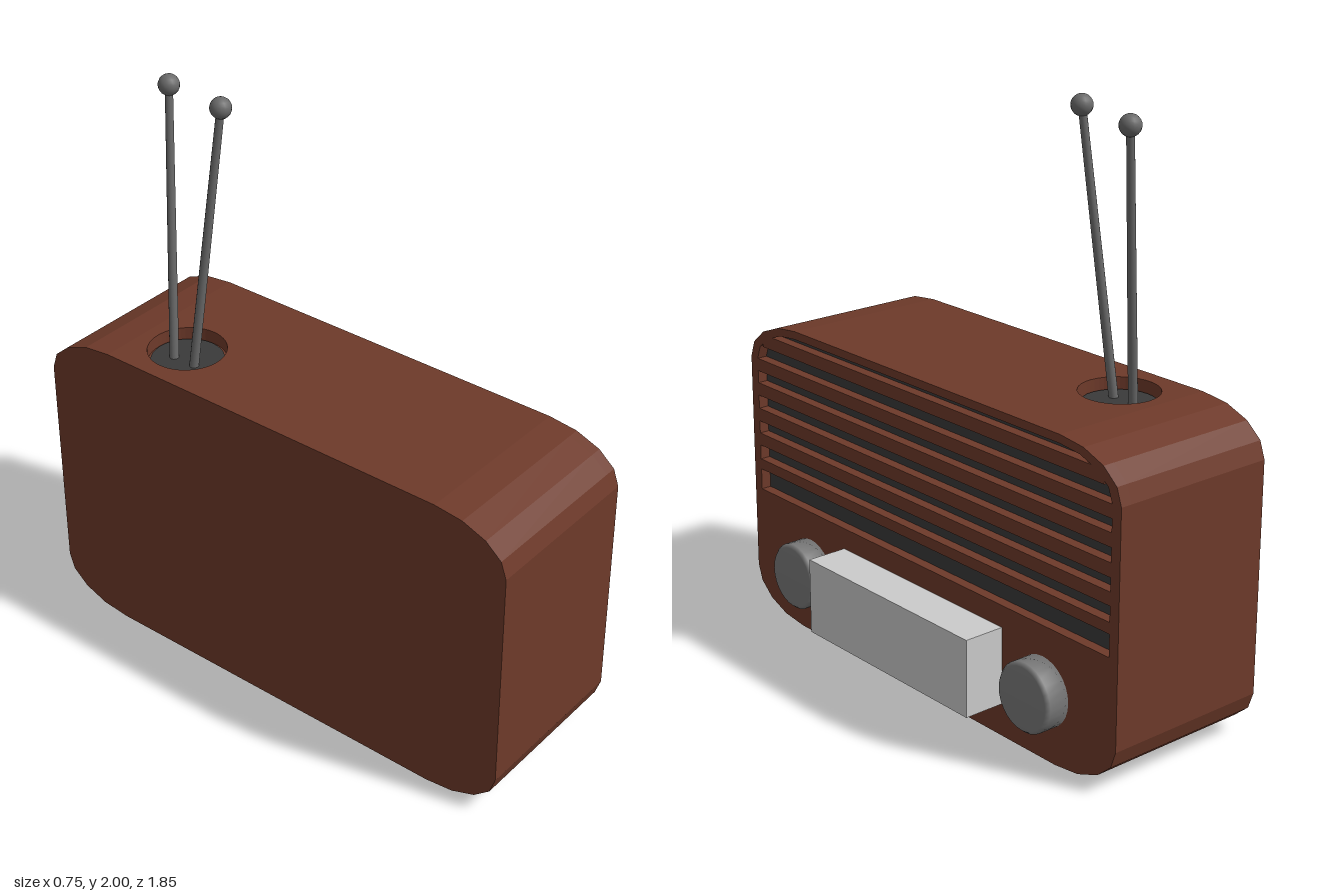
import * as THREE from 'three';

const paint = (color) => new THREE.MeshStandardMaterial({ color });
const wood = paint(0x6e3a2a), dark = paint(0x3a3a3a), metal = paint(0x6a6a6a), knobGrey = paint(0x7a7a7a), grey = paint(0xcccccc);

const BACK = -0.375, FRONT = 0.225, GRILLE = 0.04, TOP = 1.085, WELL = 0.045;
const SPLIT = FRONT - GRILLE; // where the front panel meets the cabinet

function add(parent, name, geometry, material, x = 0, y = 0, z = 0) {
  const mesh = new THREE.Mesh(geometry, material);
  mesh.name = name;
  mesh.position.set(x, y, z);
  parent.add(mesh);
  return mesh;
}

// Points of an elliptical corner, from angle a0 to a1
function corner(cx, cy, rx, ry, a0, a1) {
  return Array.from({ length: 5 }, (_, i) => {
    const a = THREE.MathUtils.lerp(a0, a1, i / 4);
    return new THREE.Vector2(cx + rx * Math.cos(a), cy + ry * Math.sin(a));
  });
}

// Cabinet outline seen from the dial side, optionally notched at the top
function outline(notched) {
  const q = Math.PI / 2, c = 0.66, rx = 0.263, ry = 0.15;
  const notch = notched ? [new THREE.Vector2(c, TOP - WELL), new THREE.Vector2(-c, TOP - WELL)] : [];
  return new THREE.Shape([
    ...corner(-c, ry, rx, ry, 2 * q, 3 * q),
    ...corner(c, ry, rx, ry, 3 * q, 4 * q),
    ...corner(c, TOP - ry, rx, ry, 0, q),
    ...notch,
    ...corner(-c, TOP - ry, rx, ry, q, 2 * q),
  ]);
}

// Extrude an outline across the cabinet, along x
function extrudeX(shape, depth) {
  return new THREE.ExtrudeGeometry(shape, { depth, bevelEnabled: false }).rotateY(Math.PI / 2);
}

export function createModel() {
  const radio = new THREE.Group();
  radio.name = 'radio';

  // Cabinet with a top board that holds the round antenna well
  add(radio, 'cabinet', extrudeX(outline(true), SPLIT - BACK), wood, BACK);
  const board = new THREE.Shape([[BACK, -0.66], [SPLIT, -0.66], [SPLIT, 0.66], [BACK, 0.66]]
    .map(([x, y]) => new THREE.Vector2(x, y)));
  board.holes.push(new THREE.Path().absarc(-0.185, 0.485, 0.131, 0, Math.PI * 2, true));
  const boardGeometry = new THREE.ExtrudeGeometry(board, { depth: WELL, bevelEnabled: false, curveSegments: 24 });
  add(radio, 'topBoard', boardGeometry.rotateX(-Math.PI / 2), wood, 0, TOP - WELL);
  add(radio, 'wellFloor', new THREE.CylinderGeometry(0.122, 0.122, 0.01, 32), dark, -0.185, TOP - WELL + 0.002, -0.485);

  // Front panel with the grille opening
  const panel = outline(false);
  const opening = [
    new THREE.Vector2(-0.885, 0.45), new THREE.Vector2(0.885, 0.45),
    ...corner(0.66, 0.935, 0.225, 0.122, 0, Math.PI / 2),
    ...corner(-0.66, 0.935, 0.225, 0.122, Math.PI / 2, Math.PI),
  ];
  panel.holes.push(new THREE.Path(opening));
  add(radio, 'frontPanel', extrudeX(panel, GRILLE), wood, SPLIT);
  add(radio, 'grilleBacking', extrudeX(new THREE.Shape(opening), 0.004), dark, SPLIT);

  // Horizontal grille slats
  const slats = [[0.525, 0.563], [0.615, 0.66], [0.705, 0.752], [0.8, 0.846], [0.89, 0.935], [0.985, 1.03]];
  slats.forEach(([low, high], i) => {
    const length = i === slats.length - 1 ? 1.7 : 1.77;
    add(radio, 'grilleSlat', new THREE.BoxGeometry(GRILLE, high - low, length), wood, SPLIT + GRILLE / 2, (low + high) / 2);
  });

  // Tuning display
  add(radio, 'display', new THREE.BoxGeometry(0.145, 0.265, 0.815), grey, FRONT + 0.0725, 0.243);

  // Knobs with a chamfered outer edge
  const knobProfile = [[0, 0], [0.117, 0], [0.117, 0.072], [0.106, 0.085], [0, 0.085]]
    .map(([r, h]) => new THREE.Vector2(r, h));
  for (const side of [1, -1]) {
    const knob = new THREE.LatheGeometry(knobProfile, 28).rotateZ(-Math.PI / 2);
    add(radio, side > 0 ? 'leftKnob' : 'rightKnob', knob, knobGrey, FRONT, 0.23, side * 0.597);
  }

  // Two rod antennas with ball tips
  const rods = [
    [[-0.205, 1.04, -0.44], [-0.13, 1.965, -0.353]],
    [[-0.206, 1.04, -0.525], [-0.082, 1.95, -0.61]],
  ];
  for (const [from, to] of rods) {
    const antenna = new THREE.Group();
    antenna.name = 'antenna';
    const base = new THREE.Vector3(...from), tip = new THREE.Vector3(...to);
    const way = tip.clone().sub(base);
    const rod = add(antenna, 'antennaRod', new THREE.CylinderGeometry(0.013, 0.016, way.length(), 12), metal);
    rod.position.copy(base).addScaledVector(way, 0.5);
    rod.quaternion.setFromUnitVectors(new THREE.Vector3(0, 1, 0), way.normalize());
    add(antenna, 'antennaTip', new THREE.SphereGeometry(0.035, 16, 12), metal, ...to);
    radio.add(antenna);
  }
  return radio;
}
